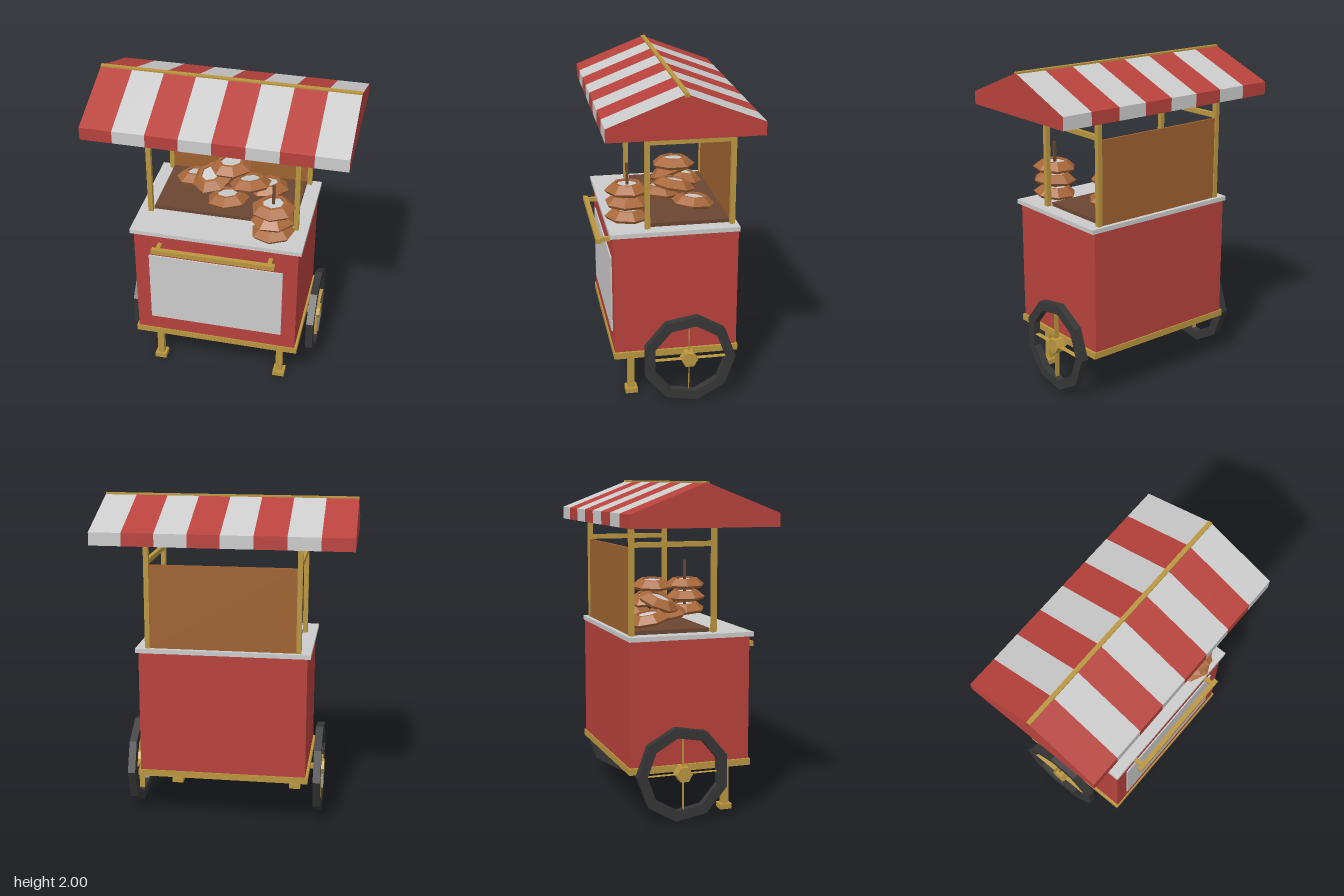
import * as THREE from 'three';

const mat = (color, side = THREE.FrontSide) =>
  new THREE.MeshStandardMaterial({ color, side, flatShading: true });

export function createModel() {
  const cart = new THREE.Group();
  cart.name = 'foodCart';
  const red = mat(0xb8423c), grey = mat(0xcccccc), brass = mat(0xba963f);
  const wood = mat(0x9f6230), crust = mat(0xa9683a), dark = mat(0x6b4632), rubber = mat(0x363636);
  const redCloth = mat(0xb8423c, THREE.DoubleSide), greyCloth = mat(0xcccccc, THREE.DoubleSide);
  const brassThin = mat(0xba963f, THREE.DoubleSide);

  const add = (name, geo, m, x = 0, y = 0, z = 0, parent = cart) => {
    const mesh = new THREE.Mesh(geo, m);
    mesh.name = name;
    mesh.position.set(x, y, z);
    parent.add(mesh);
    return mesh;
  };
  // Box given by its minimum and maximum on each axis
  const box = (name, m, [x0, x1], [y0, y1], [z0, z1]) =>
    add(name, new THREE.BoxGeometry(x1 - x0, y1 - y0, z1 - z0), m,
      (x0 + x1) / 2, (y0 + y1) / 2, (z0 + z1) / 2);

  // Cabinet
  box('baseFrame', brass, [-0.525, 0.525], [0.295, 0.335], [-0.387, 0.377]);
  box('cabinet', red, [-0.51, 0.51], [0.335, 1.085], [-0.38, 0.37]);
  box('frontPanel', grey, [-0.42, 0.42], [0.435, 0.925], [0.36, 0.378]);
  box('counter', grey, [-0.53, 0.53], [1.085, 1.112], [-0.385, 0.39]);
  box('tray', dark, [-0.44, 0.44], [1.112, 1.135], [-0.335, 0.14]);
  box('backBoard', wood, [-0.445, 0.445], [1.112, 1.622], [-0.358, -0.342]);

  // Push handle
  box('handleBar', brass, [-0.38, 0.38], [1.0, 1.03], [0.425, 0.455]);
  for (const s of [-1, 1]) {
    add('handleBracket', new THREE.BoxGeometry(0.025, 0.025, 0.07), brass, s * 0.345, 1.015, 0.4);

    // Front legs
    add('leg', new THREE.BoxGeometry(0.042, 0.28, 0.042), brass, s * 0.4, 0.165, 0.26);
    add('foot', new THREE.BoxGeometry(0.075, 0.032, 0.075), brass, s * 0.4, 0.016, 0.26);

    // Canopy posts and side rails
    for (const z of [0.16, -0.35])
      add('post', new THREE.BoxGeometry(0.03, 0.7, 0.03), brass, s * 0.457, 1.46, z);
    add('sideRail', new THREE.BoxGeometry(0.025, 0.03, 0.48), brass, s * 0.457, 1.638, -0.095);
  }
  for (const z of [0.16, -0.35])
    add('crossRail', new THREE.BoxGeometry(0.89, 0.025, 0.025), brass, 0, 1.775, z);

  // Wheels: nine-sided tyre, hexagonal hub, thin crossed spokes
  const ring = new THREE.Shape(), hole = new THREE.Path();
  const points = r => Array.from({ length: 9 }, (_, i) => {
    const a = i / 9 * Math.PI * 2;
    return new THREE.Vector2(r * Math.cos(a), r * Math.sin(a));
  });
  ring.setFromPoints(points(0.287));
  hole.setFromPoints(points(0.225));
  ring.holes.push(hole);
  const tyreGeo = new THREE.ExtrudeGeometry(ring, { depth: 0.046, bevelEnabled: false });
  tyreGeo.translate(0, 0, -0.023).rotateY(Math.PI / 2);
  const hubGeo = new THREE.CylinderGeometry(0.05, 0.05, 0.066, 6);
  hubGeo.rotateY(Math.PI / 6).rotateZ(Math.PI / 2).rotateX(Math.PI / 2);
  for (const s of [-1, 1]) {
    const wheel = new THREE.Group();
    wheel.name = s > 0 ? 'leftWheel' : 'rightWheel';
    wheel.position.set(s * 0.578, 0.295, -0.073);
    cart.add(wheel);
    add('tyre', tyreGeo, rubber, 0, 0, 0, wheel);
    add('hub', hubGeo, brass, 0, 0, 0, wheel);
    for (const turn of [0, Math.PI / 2])
      add('spoke', new THREE.PlaneGeometry(0.034, 0.45), brassThin, 0, 0, 0, wheel).rotation.x = turn;
  }
  box('axle', brass, [-0.6, 0.6], [0.28, 0.31], [-0.088, -0.058]);

  // Striped canopy: each stripe is one sheet bent over the ridge
  const section = [[-0.453, 1.745], [-0.453, 1.823], [-0.008, 1.995], [0.437, 1.823], [0.437, 1.745]];
  const W = 0.775, stripeW = W / 4;
  for (let i = 0; i < 8; i++) {
    const geo = new THREE.PlaneGeometry(stripeW, 1, 1, 4), p = geo.attributes.position;
    for (let k = 0; k < p.count; k++) {
      const [z, y] = section[Math.floor(k / 2)];
      p.setXYZ(k, p.getX(k), y, z);
    }
    geo.computeVertexNormals();
    add('canopyStripe', geo, i % 2 ? greyCloth : redCloth, -W + (i + 0.5) * stripeW);
  }
  const gable = new THREE.Shape(section.map(([z, y]) => new THREE.Vector2(-z, y)));
  for (const s of [-1, 1])
    add('canopyGable', new THREE.ShapeGeometry(gable), redCloth, s * W).rotation.y = Math.PI / 2;
  box('ridgeBar', brass, [-W, W], [1.976, 2.0], [-0.022, 0.004]);

  // Bread rings with a pale centre
  const profile = [[0.065, 0], [0.12, 0], [0.135, 0.018], [0.085, 0.06], [0.065, 0.06], [0.065, 0]]
    .map(([r, y]) => new THREE.Vector2(r, y - 0.03));
  const crustGeo = new THREE.LatheGeometry(profile, 7);
  const centreGeo = new THREE.CylinderGeometry(0.067, 0.067, 0.04, 7);
  const bread = (x, y, z, rx = 0, ry = 0, rz = 0) => {
    const g = new THREE.Group();
    g.name = 'breadRing';
    g.position.set(x, y, z);
    g.rotation.set(rx, ry, rz);
    add('crust', crustGeo, crust, 0, 0, 0, g);
    add('centre', centreGeo, grey, 0, 0, 0, g);
    cart.add(g);
  };
  bread(-0.245, 1.185, -0.18, -0.22, 0.3, 0.05);
  bread(0.0, 1.185, 0.015, -0.25, 0.9, 0.15);
  bread(0.22, 1.185, -0.16, -0.15, 0.5, 0.1);
  bread(0.125, 1.265, -0.06, -0.22, 0.2, 0.12);
  bread(-0.12, 1.27, -0.07, 0.15, 0.6, 0.3);
  bread(0.0, 1.365, -0.075, -0.2, 1.2, 0.2);

  // Skewer with stacked bread
  box('skewer', dark, [0.322, 0.338], [1.11, 1.48], [0.252, 0.268]);
  [1.165, 1.25, 1.33].forEach((y, i) => bread(0.33, y, 0.262, -0.05, i * 0.45, 0.05));

  return cart;
}
